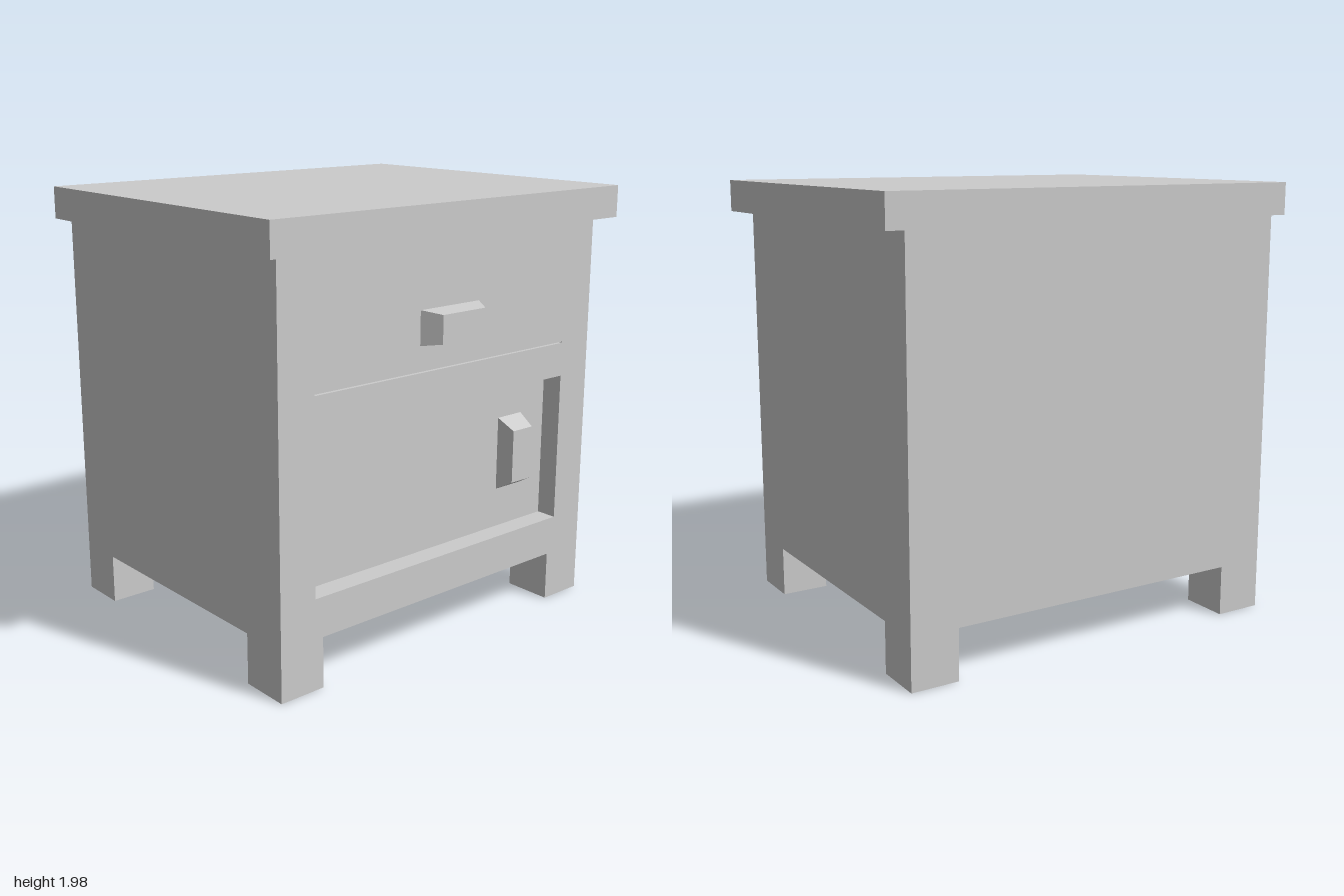
import * as THREE from 'three';

const material = new THREE.MeshStandardMaterial({ color: 0xcccccc, flatShading: true });

function add(parent, name, geometry, x = 0, y = 0, z = 0) {
  const mesh = new THREE.Mesh(geometry, material);
  mesh.name = name;
  mesh.position.set(x, y, z);
  parent.add(mesh);
  return mesh;
}

// Box given by its limits on each axis
function addBox(parent, name, [x0, x1], [y0, y1], [z0, z1]) {
  return add(parent, name, new THREE.BoxGeometry(x1 - x0, y1 - y0, z1 - z0),
    (x0 + x1) / 2, (y0 + y1) / 2, (z0 + z1) / 2);
}

// Trace a rectangle on a Shape or Path
function rect(path, x0, x1, y0, y1) {
  path.moveTo(x0, y0).lineTo(x1, y0).lineTo(x1, y1).lineTo(x0, y1).closePath();
  return path;
}

// Handle block whose front face is smaller than its base; base sits at z = 0
function handleGeometry(width, height, taperX, taperY, depth) {
  const geometry = new THREE.BoxGeometry(width, height, depth).translate(0, 0, depth / 2);
  const p = geometry.attributes.position;
  for (let i = 0; i < p.count; i++) {
    if (p.getZ(i) > depth / 2) p.setXY(i, p.getX(i) * taperX, p.getY(i) * taperY);
  }
  geometry.computeVertexNormals();
  return geometry;
}

export function createModel() {
  const group = new THREE.Group();
  group.name = 'nightstand';

  const halfWidth = 0.92, bottom = 0.23, bodyTop = 1.835;
  const back = -0.815, front = 0.73, recess = 0.1, legWidth = 0.22;

  // Table top, flush with the back
  addBox(group, 'tableTop', [-1, 1], [bodyTop, 1.98], [back, 0.8]);

  // Cabinet, whose front is the sunken door panel
  addBox(group, 'cabinet', [-halfWidth, halfWidth], [bottom, bodyTop], [back, front - recess]);

  // Front frame with the door opening and the drawer slit
  const frame = rect(new THREE.Shape(), -halfWidth, halfWidth, bottom, bodyTop);
  frame.holes.push(
    rect(new THREE.Path(), -0.74, 0.74, 0.41, 1.11),
    rect(new THREE.Path(), -0.74, 0.74, 1.267, 1.273));
  add(group, 'frontFrame',
    new THREE.ExtrudeGeometry(frame, { depth: recess, bevelEnabled: false }), 0, 0, front - recess);

  // Legs
  for (const [side, s] of [['Left', 1], ['Right', -1]]) {
    const xs = [s * halfWidth, s * (halfWidth - legWidth)].sort((a, b) => a - b);
    addBox(group, 'front' + side + 'Leg', xs, [0, bottom], [front - 0.23, front]);
    addBox(group, 'back' + side + 'Leg', xs, [0, bottom], [back, back + 0.225]);
  }

  // Handles: one lying on the drawer, one upright on the door
  add(group, 'drawerHandle', handleGeometry(0.345, 0.152, 0.72, 0.82, 0.085), 0, 1.46, front);
  add(group, 'doorHandle', handleGeometry(0.152, 0.345, 0.82, 0.72, 0.085), 0.507, 0.768, front - recess);

  return group;
}
